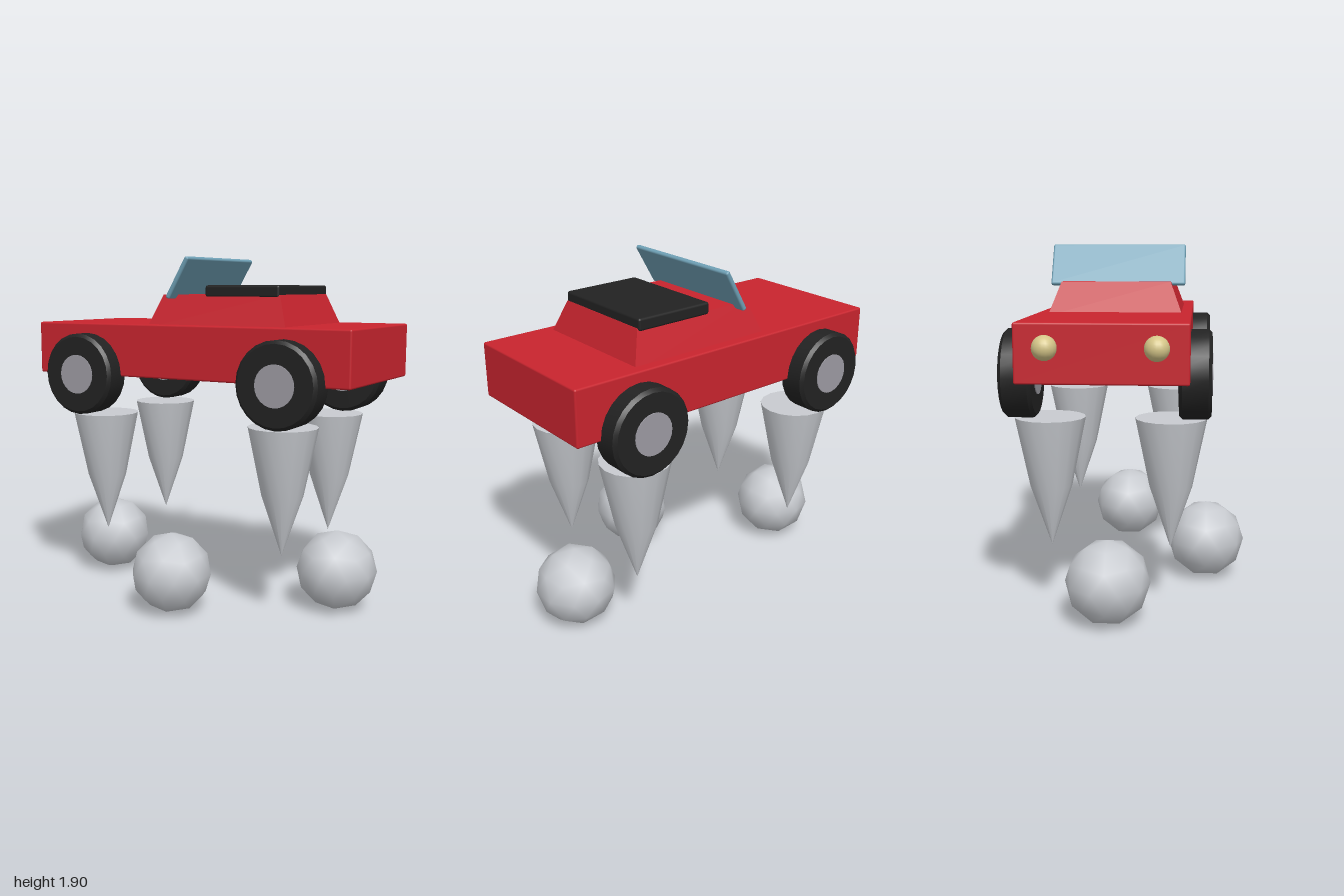
import * as THREE from 'three';
import { toCreasedNormals } from 'three/addons/utils/BufferGeometryUtils.js';
import { RoundedBoxGeometry } from 'three/addons/geometries/RoundedBoxGeometry.js';

const paint = (name, color) => {
  const m = new THREE.MeshStandardMaterial({ color });
  m.name = name;
  return m;
};

export function createModel() {
  const car = new THREE.Group();
  car.name = 'toyCar';
  const red = paint('red paint', 0xc8242e);
  const black = paint('black rubber', 0x222222);
  const steel = paint('hub grey', 0x9c9aa2);
  const pale = paint('pale grey', 0xc8cbd0);
  const glass = paint('windscreen blue', 0x6fa0b5);
  const cream = paint('lamp cream', 0xd4c588);

  const add = (name, geometry, material, x, y, z, parent = car) => {
    const mesh = new THREE.Mesh(geometry, material);
    mesh.name = name;
    mesh.position.set(x, y, z);
    parent.add(mesh);
    return mesh;
  };
  const lathe = (points, sides) => toCreasedNormals(
    new THREE.LatheGeometry(points.map(([r, y]) => new THREE.Vector2(r, y)), sides), 0.6);

  const midZ = -0.1; // car centre line

  // Body slab
  add('body', new RoundedBoxGeometry(1.92, 0.29, 0.825, 2, 0.01), red, 0.04, 1.395, midZ);

  // Cabin: box with its top drawn in
  const cabin = new THREE.BoxGeometry(0.835, 0.18, 0.725);
  const p = cabin.attributes.position;
  for (let i = 0; i < p.count; i++) {
    if (p.getY(i) > 0) {
      p.setX(i, p.getX(i) * 0.84);
      p.setZ(i, p.getZ(i) * 0.815);
    }
  }
  cabin.computeVertexNormals();
  add('cabin', cabin, red, 0.2125, 1.61, midZ);

  // Roof pad
  add('roof', new RoundedBoxGeometry(0.435, 0.063, 0.61, 2, 0.012), black, 0.343, 1.717, -0.103);

  // Leaning windscreen
  const screen = add('windscreen', new RoundedBoxGeometry(0.026, 0.25, 0.735, 2, 0.01), glass, -0.008, 1.788, -0.095);
  screen.rotation.z = -0.53;

  // Headlamps
  for (const side of [1, -1]) {
    add('headlamp', new THREE.SphereGeometry(0.06, 20, 14), cream, -0.94, 1.425, midZ + side * 0.26);
  }

  // Wheels: bevelled tyre with a hub running through
  const tyre = lathe([[0, -0.08], [0.208, -0.08], [0.225, -0.063], [0.225, 0.063], [0.208, 0.08], [0, 0.08]], 24);
  const hub = new THREE.CylinderGeometry(0.108, 0.108, 0.17, 24);
  for (const x of [-0.575, 0.645]) {
    for (const side of [1, -1]) {
      const wheel = new THREE.Group();
      wheel.name = 'wheel';
      wheel.position.set(x, 1.26, midZ + side * 0.437);
      wheel.rotation.x = Math.PI / 2;
      add('tyre', tyre, black, 0, 0, 0, wheel);
      add('hub', hub, steel, 0, 0, 0, wheel);
      car.add(wheel);
    }
  }

  // Downward-pointing cones under the wheels
  const cone = lathe([[0, 0.345], [0.11, 0.67], [0.184, 1.03], [0, 1.03]], 16);
  for (const x of [-0.525, 0.6]) {
    for (const z of [0.215, -0.405]) add('cone', cone, pale, x, 0, z);
  }

  // Loose balls on the ground, turned to stand on a vertex
  const ball = new THREE.IcosahedronGeometry(0.218, 1);
  ball.rotateZ(Math.atan(2 / (1 + Math.sqrt(5))));
  for (const [x, z] of [[-0.71, -0.095], [0.035, 0.403], [0.785, -0.095]]) {
    add('ball', ball, pale, x, 0.218, z);
  }

  return car;
}
